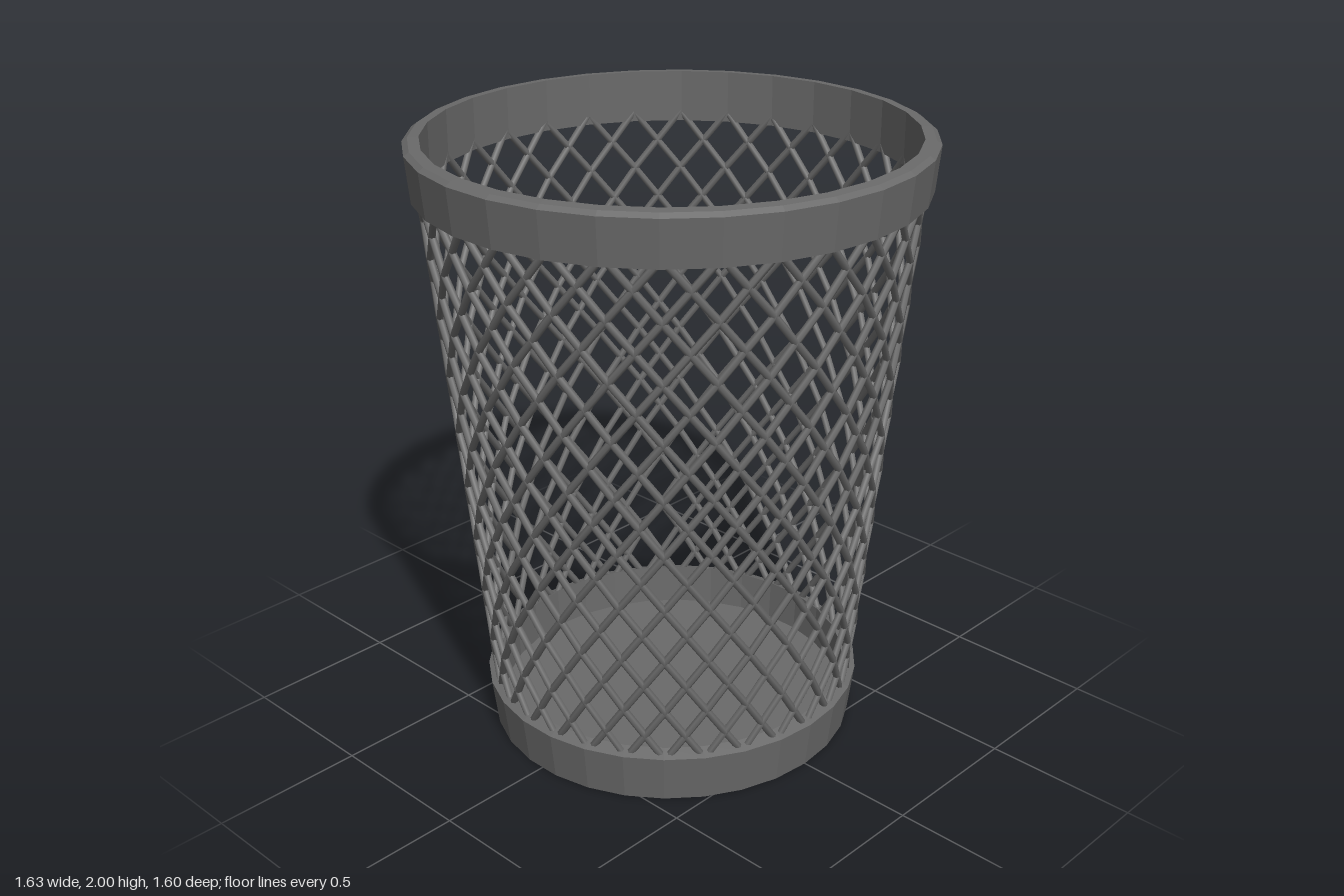
import * as THREE from 'three';

const SIDES = 30;            // facets of the rings, and wires per direction
const STEPS = 9;             // straight pieces per wire
const STEP = (Math.PI * 2) / SIDES;
const DEPTH = 0.982;         // the plan is a slight oval, narrower front to back

// One wire: a helix on the tapered wall, bent only at the facet corners
class WireCurve extends THREE.Curve {
  constructor(start, dir, lift) {
    super();
    this.start = start;
    this.dir = dir;
    this.lift = lift;
  }
  getPoint(t, target = new THREE.Vector3()) {
    const y = THREE.MathUtils.lerp(0.14, 1.86, t) + this.lift;
    const r = THREE.MathUtils.mapLinear(y, 0.14, 1.86, 0.602, 0.776);
    const a = this.start + this.dir * t * STEPS * STEP;
    return target.set(r * Math.sin(a), y, r * Math.cos(a) * DEPTH);
  }
  getPointAt(t, target) {
    return this.getPoint(t, target);
  }
}

export function createModel() {
  const group = new THREE.Group();
  group.name = 'wasteBasket';
  const ringMaterial = new THREE.MeshStandardMaterial({ color: 0x6a6a6a, flatShading: true });
  const wireMaterial = new THREE.MeshStandardMaterial({ color: 0x6a6a6a });

  const addRing = (name, profile) => {
    const points = profile.map(([r, y]) => new THREE.Vector2(r, y));
    const geometry = new THREE.LatheGeometry(points, SIDES).scale(1, 1, DEPTH);
    const mesh = new THREE.Mesh(geometry, ringMaterial);
    mesh.name = name;
    group.add(mesh);
  };

  // Base cup with its floor and a lip sloping up to the inside
  addRing('base', [[0, 0], [0.612, 0], [0.632, 0.16], [0.588, 0.176], [0.58, 0.04], [0, 0.04]]);

  // Top rim band, its upper face sloping gently outward
  addRing('rim', [[0.765, 1.83], [0.803, 1.84], [0.817, 1.985], [0.8, 1.997], [0.765, 2], [0.765, 1.83]]);

  // Diamond mesh: two sets of wires winding in opposite directions
  for (const [name, dir, lift] of [['leftWindingWires', 1, -0.005], ['rightWindingWires', -1, 0.005]]) {
    const wires = new THREE.Group();
    wires.name = name;
    for (let i = 0; i < SIDES; i++) {
      const curve = new WireCurve(i * STEP, dir, lift);
      const wire = new THREE.Mesh(new THREE.TubeGeometry(curve, STEPS, 0.012, 6), wireMaterial);
      wire.name = 'wire';
      wires.add(wire);
    }
    group.add(wires);
  }
  return group;
}
